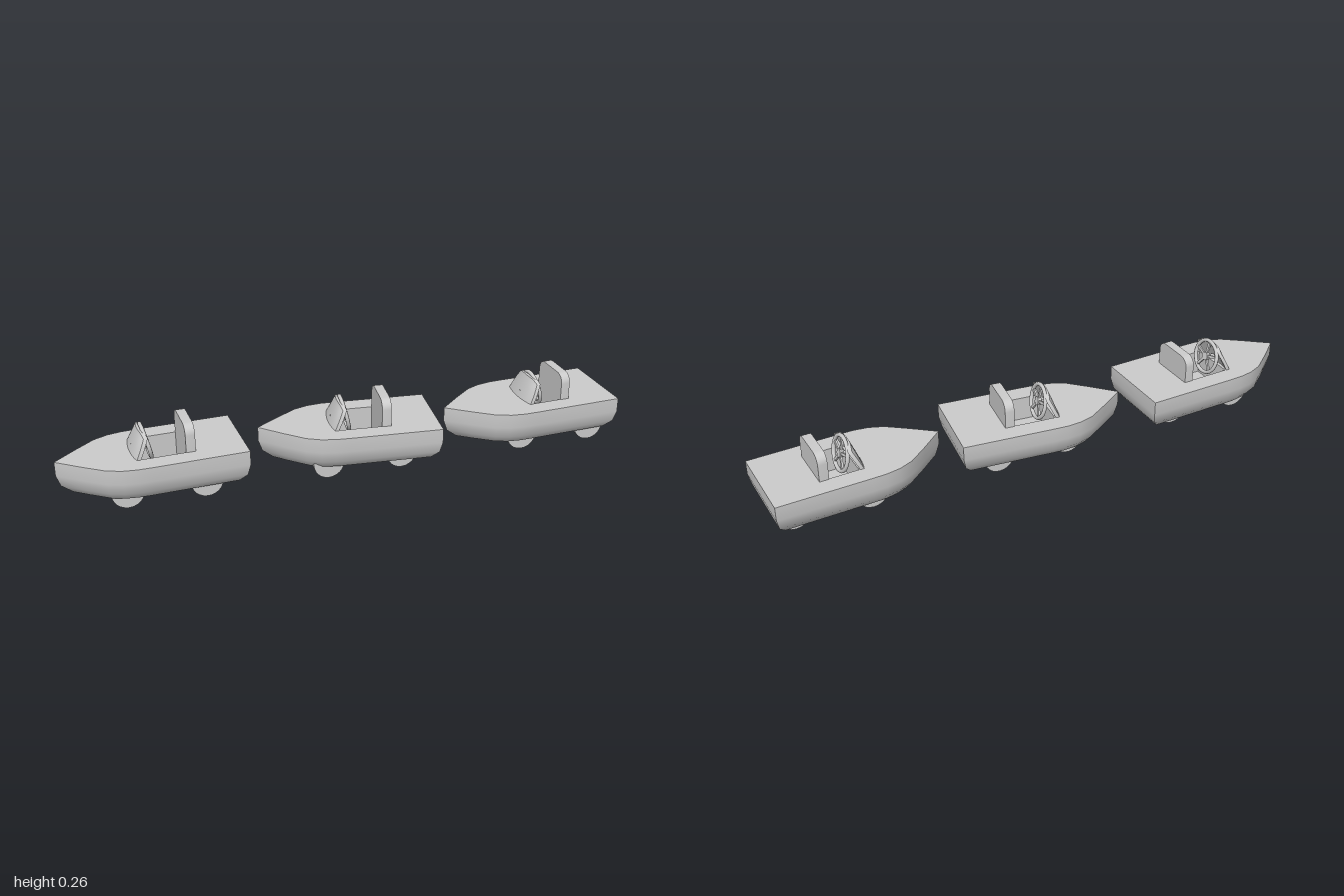
import * as THREE from 'three';
import { toCreasedNormals } from 'three/addons/utils/BufferGeometryUtils.js';

const grey = new THREE.MeshStandardMaterial({ color: 0xcccccc });
const greyInside = new THREE.MeshStandardMaterial({ color: 0xcccccc, side: THREE.BackSide });

const DECK = 0.167, FLOOR = 0.08;

function add(parent, name, geometry, x = 0, y = 0, z = 0, material = grey) {
  const mesh = new THREE.Mesh(geometry, material);
  mesh.name = name;
  mesh.position.set(x, y, z);
  parent.add(mesh);
  return mesh;
}

// Deck outline as [x, z], bow at the origin, stern towards +x
const half = [[0.08, 0.065], [0.15, 0.118], [0.2, 0.138], [0.25, 0.146], [0.3, 0.147], [0.626, 0.146]];
const outline = [[0, 0], ...half, ...half.map(([x, z]) => [x, -z]).reverse()]
  .map(([x, z]) => new THREE.Vector2(x, z));

// Outline moved inwards by a mitred distance
function inset(points, d) {
  const n = points.length;
  const normal = (a, b) => new THREE.Vector2(a.y - b.y, b.x - a.x).normalize();
  return points.map((p, i) => {
    const n1 = normal(points[(i + n - 1) % n], p);
    const n2 = normal(p, points[(i + 1) % n]);
    const k = -d / (1 + n1.dot(n2));
    return p.clone().add(n1.add(n2).multiplyScalar(k));
  });
}

// Hull sides: straight upper band, then a quarter-round down to the bottom
function hullSides() {
  const rings = [[0, DECK]];
  for (let i = 0; i <= 3; i++) {
    const a = i * Math.PI / 6;
    rings.push([0.065 * (1 - Math.cos(a)), 0.116 - 0.08 * Math.sin(a)]);
  }
  const pos = [], idx = [], n = outline.length;
  rings.forEach(([d, y], r) => {
    inset(outline, d).forEach((p, i) => {
      pos.push(p.x, y, p.y);
      if (r === 0) return;
      const j = (i + 1) % n, a = (r - 1) * n, b = r * n;
      idx.push(a + i, b + i, b + j, a + i, b + j, a + j);
    });
  });
  const g = new THREE.BufferGeometry();
  g.setAttribute('position', new THREE.Float32BufferAttribute(pos, 3));
  g.setIndex(idx);
  return toCreasedNormals(g, 0.65);
}

// Rounded backrest standing in the rear of the cockpit
function seatGeometry() {
  const w = 0.083, b = FLOOR, t = 0.262, r = 0.034;
  const s = new THREE.Shape();
  s.moveTo(-w, b);
  s.lineTo(w, b);
  s.lineTo(w, t - r);
  s.absarc(w - r, t - r, r, 0, Math.PI / 2);
  s.lineTo(-w + r, t);
  s.absarc(-w + r, t - r, r, Math.PI / 2, Math.PI);
  const g = new THREE.ExtrudeGeometry(s, { depth: 0.033, bevelEnabled: false, curveSegments: 3 });
  return toCreasedNormals(g.rotateY(Math.PI / 2), 0.6);
}

// Windscreen: a panel leaning aft, bowed forward and narrowing at the top
function screenGeometry() {
  const g = new THREE.BoxGeometry(0.014, 0.09, 0.166, 1, 5, 8);
  const p = g.attributes.position;
  for (let i = 0; i < p.count; i++) {
    const t = p.getY(i) / 0.09 + 0.5, u = p.getZ(i) / 0.083;
    p.setX(i, p.getX(i) + 0.035 * t + 0.01 * u * u);
    p.setY(i, p.getY(i) - 0.014 * t * u ** 4);
    p.setZ(i, p.getZ(i) * (1 - 0.22 * t * t));
  }
  return toCreasedNormals(g, 0.7);
}

function steeringWheel() {
  const g = new THREE.Group();
  g.name = 'steeringWheel';
  add(g, 'rim', new THREE.TorusGeometry(0.06, 0.007, 8, 28).rotateY(Math.PI / 2));
  add(g, 'hub', new THREE.CylinderGeometry(0.015, 0.015, 0.014, 16).rotateZ(Math.PI / 2));
  add(g, 'column', new THREE.CylinderGeometry(0.007, 0.007, 0.05, 10).rotateZ(Math.PI / 2), -0.025);
  for (let i = 0; i < 5; i++) {
    const spoke = new THREE.BoxGeometry(0.007, 0.06, 0.01).translate(0, 0.03, 0);
    add(g, 'spoke', spoke).rotation.x = i * Math.PI * 2 / 5;
  }
  g.rotation.z = 0.22;
  return g;
}

function boat(shift) {
  const g = new THREE.Group();
  g.name = 'boat';
  add(g, 'hullSides', hullSides());

  // Deck with the cockpit opening, and the flat bottom
  const x0 = 0.275 + shift, x1 = 0.445, w = 0.08;
  const deck = new THREE.Shape(outline);
  deck.holes.push(new THREE.Path([[x0, -w], [x0, w], [x1, w], [x1, -w]].map(a => new THREE.Vector2(...a))));
  add(g, 'deck', new THREE.ShapeGeometry(deck).rotateX(-Math.PI / 2), 0, DECK);
  const bottom = new THREE.Shape(inset(outline, 0.065));
  add(g, 'hullBottom', new THREE.ShapeGeometry(bottom).rotateX(Math.PI / 2), 0, 0.036);

  // Cockpit well: a box seen from inside, without its lid
  const well = new THREE.BoxGeometry(x1 - x0, DECK - FLOOR, 2 * w);
  const index = Array.from(well.index.array);
  index.splice(12, 6);
  well.setIndex(index);
  well.clearGroups();
  add(g, 'cockpitWell', well, (x0 + x1) / 2, (DECK + FLOOR) / 2, 0, greyInside);

  add(g, 'seatBack', seatGeometry(), 0.423);
  add(g, 'windscreen', screenGeometry(), 0.25 + shift, 0.202);
  const wheel = steeringWheel();
  wheel.position.set(0.305 + shift, 0.195, 0);
  g.add(wheel);
  return g;
}

export function createModel() {
  const model = new THREE.Group();
  model.name = 'boatTrain';
  // Bow x, bow z, heading, offset of the helm, x of the front wheels
  const cars = [
    [-1, 0, 0.045, 0, -0.778],
    [-0.303, -0.048, -0.1, 0, -0.083],
    [0.37, 0, 0.045, 0.045, 0.645],
  ];
  for (const [x, z, heading, shift, wheelX] of cars) {
    const b = boat(shift);
    b.position.set(x, 0, z);
    b.rotation.y = heading;
    model.add(b);

    // Road wheels stay in line with the track
    for (const dx of [0, 0.267]) {
      for (const wz of [0.067, -0.077]) {
        const tyre = new THREE.CylinderGeometry(0.055, 0.055, 0.023, 24).rotateX(Math.PI / 2);
        add(model, 'roadWheel', tyre, wheelX + dx, 0.055, wz);
      }
    }
  }
  return model;
}
